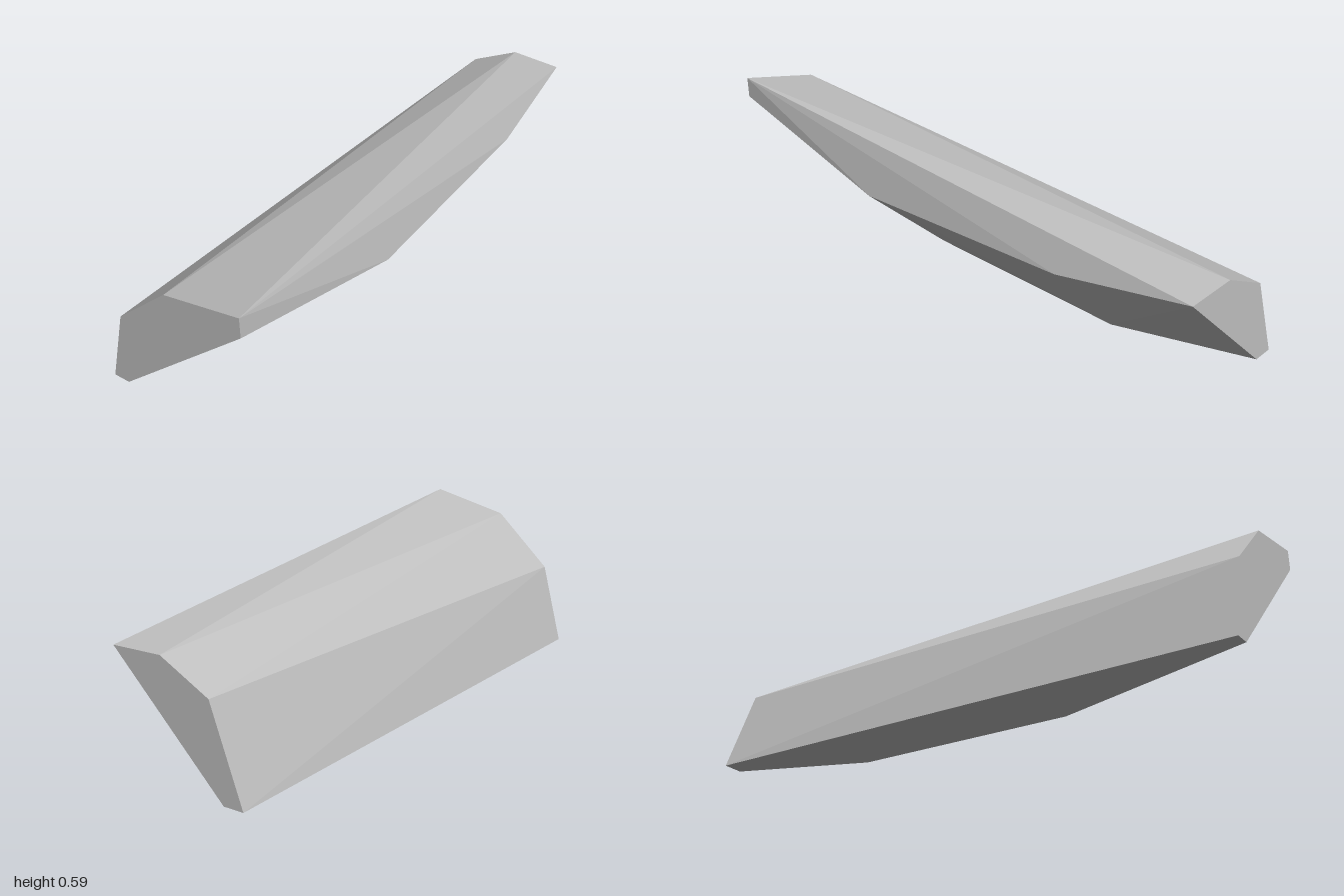
import * as THREE from 'three';
import { ConvexGeometry } from 'three/addons/geometries/ConvexGeometry.js';

// Cross-sections along x: each holds [y, z] corners of the faceted slab
const sections = [
  { x: -1, corners: [[0.59, 0.3], [0.515, 0.3], [0.02, -0.23], [0.015, -0.295], [0.315, -0.215], [0.517, 0]] },
  { x: -0.305, corners: [[0.337, 0.303], [0, -0.06]] },
  { x: 0.525, corners: [[0.345, 0.253], [0.001, -0.06]] },
  { x: 1, corners: [[0.413, 0.192], [0.006, -0.228], [0.007, -0.302], [0.322, -0.185], [0.417, 0]] },
];

export function createModel() {
  const group = new THREE.Group();
  group.name = 'stoneShard';

  const stone = new THREE.MeshStandardMaterial({ color: 0xbfbfbf });
  stone.name = 'pale grey stone';

  // Flat facets stretched over the section corners
  const points = sections.flatMap(({ x, corners }) =>
    corners.map(([y, z]) => new THREE.Vector3(x, y, z)));
  const shard = new THREE.Mesh(new ConvexGeometry(points), stone);
  shard.name = 'facetedSlab';
  group.add(shard);
  return group;
}
